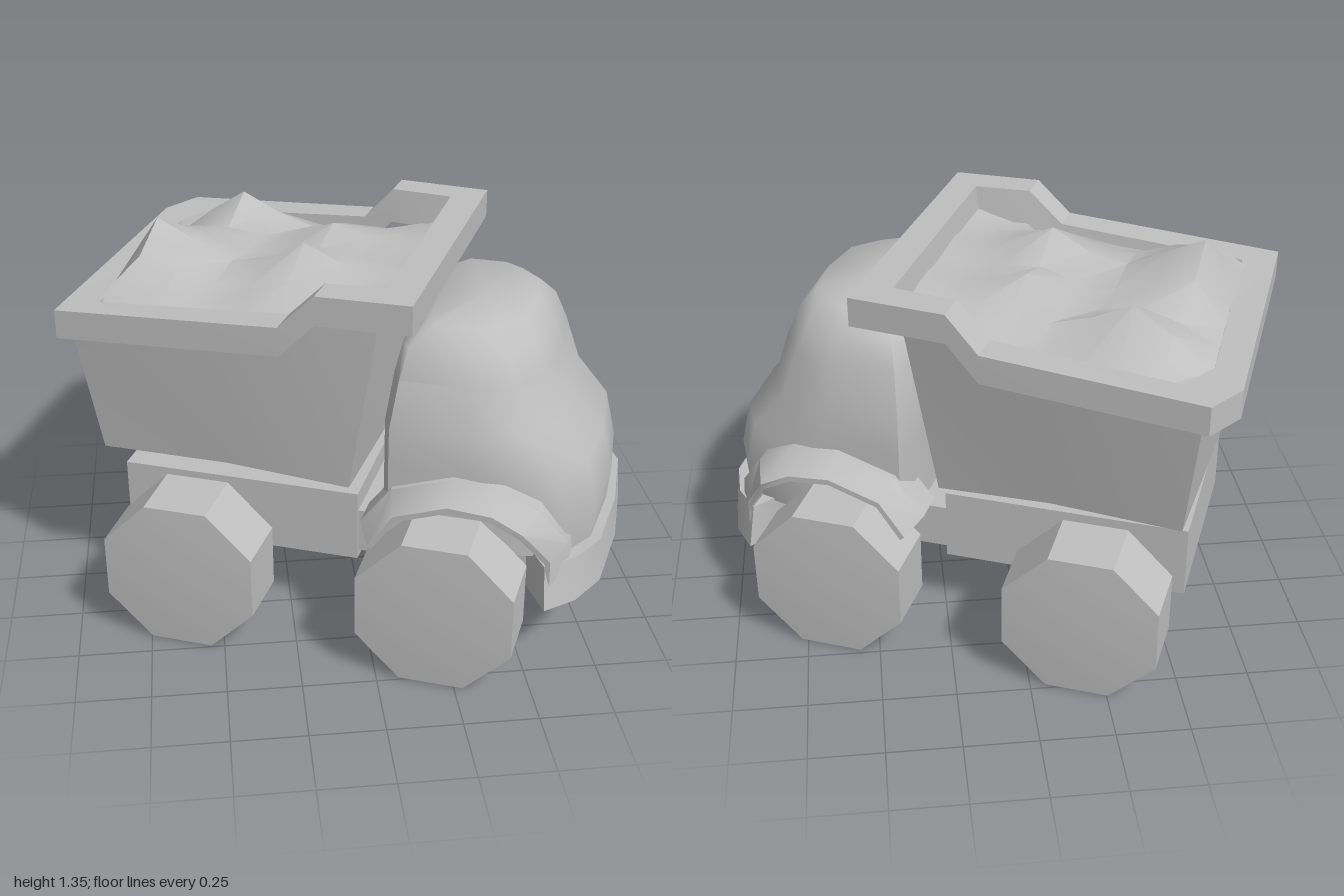
import * as THREE from 'three';
import { toCreasedNormals } from 'three/addons/utils/BufferGeometryUtils.js';

// Skin a stack of equal-length rings of [x, y, z], optionally capped
function loft(rings, { bottom = false, top = false, crease = 0.6 } = {}) {
  const n = rings[0].length, pos = [];
  const tri = (...p) => p.forEach((q) => pos.push(...q));
  for (let j = 0; j < rings.length - 1; j++) {
    for (let i = 0; i < n; i++) {
      const k = (i + 1) % n;
      tri(rings[j][i], rings[j + 1][i], rings[j + 1][k]);
      tri(rings[j][i], rings[j + 1][k], rings[j][k]);
    }
  }
  const cap = (ring, up) => {
    const c = [0, 1, 2].map((a) => ring.reduce((s, p) => s + p[a], 0) / n);
    ring.forEach((p, i) => {
      const q = ring[(i + 1) % n];
      if (up) tri(c, q, p); else tri(c, p, q);
    });
  };
  if (bottom) cap(rings[0], false);
  if (top) cap(rings[rings.length - 1], true);
  const g = new THREE.BufferGeometry();
  g.setAttribute('position', new THREE.Float32BufferAttribute(pos, 3));
  return toCreasedNormals(g, crease);
}

// Complete a half outline, running front to back, with its mirror image
const mirrorOutline = (half) => [
  ...half,
  ...half.filter(([, z]) => z !== 0).reverse().map(([x, z]) => [x, -z]),
];

export function createModel() {
  const root = new THREE.Group();
  root.name = 'dumpTruck';
  const grey = new THREE.MeshStandardMaterial({ color: 0xbfbfbf });
  grey.name = 'plain grey';

  // The truck stands turned, and its hopper sits slightly askew on the chassis
  const section = (name, turn) => {
    const g = new THREE.Group();
    g.name = name;
    g.rotation.y = turn;
    root.add(g);
    return (part, geo, x = 0, y = 0, z = 0) => {
      const m = new THREE.Mesh(geo, grey);
      m.name = part;
      m.position.set(x, y, z);
      g.add(m);
      return m;
    };
  };
  const addBed = section('loadBed', -0.427);
  const addGear = section('cabAndChassis', -0.38);

  // Hopper: tapering tub
  const tubTop = [[0.24, 0.45], [-0.3, 0.53], [-0.8, 0.53], [-0.8, -0.53], [-0.3, -0.53], [0.2, -0.48]];
  const tubLow = [[0.12, 0.4], [-0.3, 0.45], [-0.75, 0.47], [-0.75, -0.47], [-0.3, -0.45], [0.11, -0.41]];
  const tubTopY = (x) => (x > 0 ? 1.25 : 1.06 + (x + 0.84) * 0.1);
  addBed('hopper', loft([
    tubLow.map(([x, z]) => [x, x > 0 ? 0.57 : 0.62, z]),
    tubTop.map(([x, z]) => [x, tubTopY(x), z]),
  ], { bottom: true }));

  // Rim: a lip that steps up towards the cab
  const rim = [[0.37, 0.54], [0.06, 0.56], [-0.06, 0.57], [-0.84, 0.57], [-0.9, -0.45],
    [-0.83, -0.59], [-0.1, -0.58], [0.01, -0.575], [0.34, -0.56]];
  const rimY = (x) => (x > 0 ? 1.33 : 1.165 + (x + 0.84) * 0.06);
  const inset = (d, dy) => rim.map(([x, z]) => [
    x > 0.3 ? x - d : x < -0.8 ? x + d : x, rimY(x) + dy, Math.sign(z) * (Math.abs(z) - d)]);
  addBed('hopperRim', loft([
    inset(0.14, -0.1), inset(0, -0.1), inset(0, 0), inset(0.11, 0), inset(0.13, -0.12),
  ], { crease: 0.4 }));

  // Load: a coarse heap of broad peaks that dies away at the rim
  const peaks = [[-0.65, 0.153, 0.23, 0.42], [-0.12, 0.153, 0.17, 0.32], [-0.51, -0.3, 0.18, 0.3], [-0.12, -0.153, 0.13, 0.35]];
  const heap = new THREE.PlaneGeometry(1.06, 0.92, 8, 6).rotateX(-Math.PI / 2).translate(-0.25, 0, 0);
  const hp = heap.attributes.position;
  for (let i = 0; i < hp.count; i++) {
    const x = hp.getX(i), z = hp.getZ(i);
    const edge = Math.min(0.53 - Math.abs(x + 0.25), 0.46 - Math.abs(z));
    const bump = Math.max(0, ...peaks.map(([px, pz, h, r]) => h * (1 - Math.hypot(x - px, z - pz) / r)));
    hp.setY(i, 1.125 + (x + 0.8) * 0.06 + Math.max(0, x) * 0.25 + bump * Math.min(1, edge / 0.1));
  }
  addBed('load', toCreasedNormals(heap, 0.6));

  // Cab: boxy rounded shell narrowing to the roof; rows are [y, back, front, half width]
  const cabRows = [[0.42, 0.22, 0.93, 0.465], [0.55, 0.22, 0.94, 0.46], [0.71, 0.22, 0.9, 0.46],
    [0.84, 0.22, 0.79, 0.455], [1.0, 0.24, 0.74, 0.41], [1.1, 0.26, 0.7, 0.37], [1.16, 0.33, 0.65, 0.29]];
  addGear('cab', loft(cabRows.map(([y, b, f, w]) => mirrorOutline([
    [f, 0], [f - 0.02, w * 0.58], [f - 0.1, w * 0.87], [(f + b) / 2, w], [b + 0.03, w], [b, w * 0.85], [b - 0.01, 0],
  ]).map(([x, z]) => [x, y, z])), { bottom: true, top: true, crease: 1 }));

  // Bumper, flaring slightly towards its lower edge
  const bumper = mirrorOutline([[0.975, 0], [0.955, 0.3], [0.89, 0.44], [0.8, 0.53], [0.72, 0.4], [0.72, 0]]);
  addGear('bumper', loft([[0.28, 1], [0.43, 0.94]].map(([y, s]) =>
    bumper.map(([x, z]) => [x - (1 - s) * 0.2, y, z * s])), { bottom: true, top: true }));

  // Front wheel arches: a sloping section swept over the wheel; rows are [x, y, outer z]
  const arch = [[0.22, 0.44], [0.3, 0.56], [0.47, 0.62], [0.61, 0.61], [0.71, 0.56], [0.79, 0.44, 0.5], [0.79, 0.28, 0.5]];
  const fender = (side) => loft(arch.map(([x, y, w = 0.56]) => {
    const len = Math.hypot(x - 0.48, y - 0.2);
    const ring = [[0, 0.36], [0, w], [0.02, w], [0.08, w - 0.08], [0.08, 0.36]].map(([r, z]) =>
      [x + r * (x - 0.48) / len, y + r * (y - 0.2) / len, side * z]);
    return side > 0 ? ring : ring.reverse();
  }), { bottom: true, top: true });
  addGear('rightFender', fender(1));
  addGear('leftFender', fender(-1));

  // Underbody
  addGear('chassis', new THREE.BoxGeometry(0.85, 0.26, 0.72), -0.305, 0.39, 0);
  addGear('cabFloor', new THREE.BoxGeometry(0.7, 0.16, 0.7), 0.42, 0.37, 0);
  addGear('hopperMount', new THREE.BoxGeometry(0.38, 0.12, 0.4), -0.3, 0.56, 0);

  // Eight-sided wheels with flat faces, each on a short axle stub
  const profile = [[0, -0.12], [0.26, -0.13], [0.29, -0.1], [0.285, 0.12], [0, 0.14]]
    .map(([r, y]) => new THREE.Vector2(r, y));
  const wheelGeo = toCreasedNormals(
    new THREE.LatheGeometry(profile, 8, Math.PI / 8).rotateX(Math.PI / 2), 0.5);
  const stubGeo = new THREE.CylinderGeometry(0.065, 0.065, 0.26, 6).rotateX(Math.PI / 2);
  for (const [end, x] of [['front', 0.455], ['rear', -0.43]]) {
    for (const [side, s] of [['Right', 1], ['Left', -1]]) {
      addGear(end + side + 'Wheel', wheelGeo, x, 0.28, s * 0.545).rotation.y = s > 0 ? 0 : Math.PI;
      addGear(end + side + 'Axle', stubGeo, x, 0.24, s * 0.33);
    }
  }
  return root;
}
